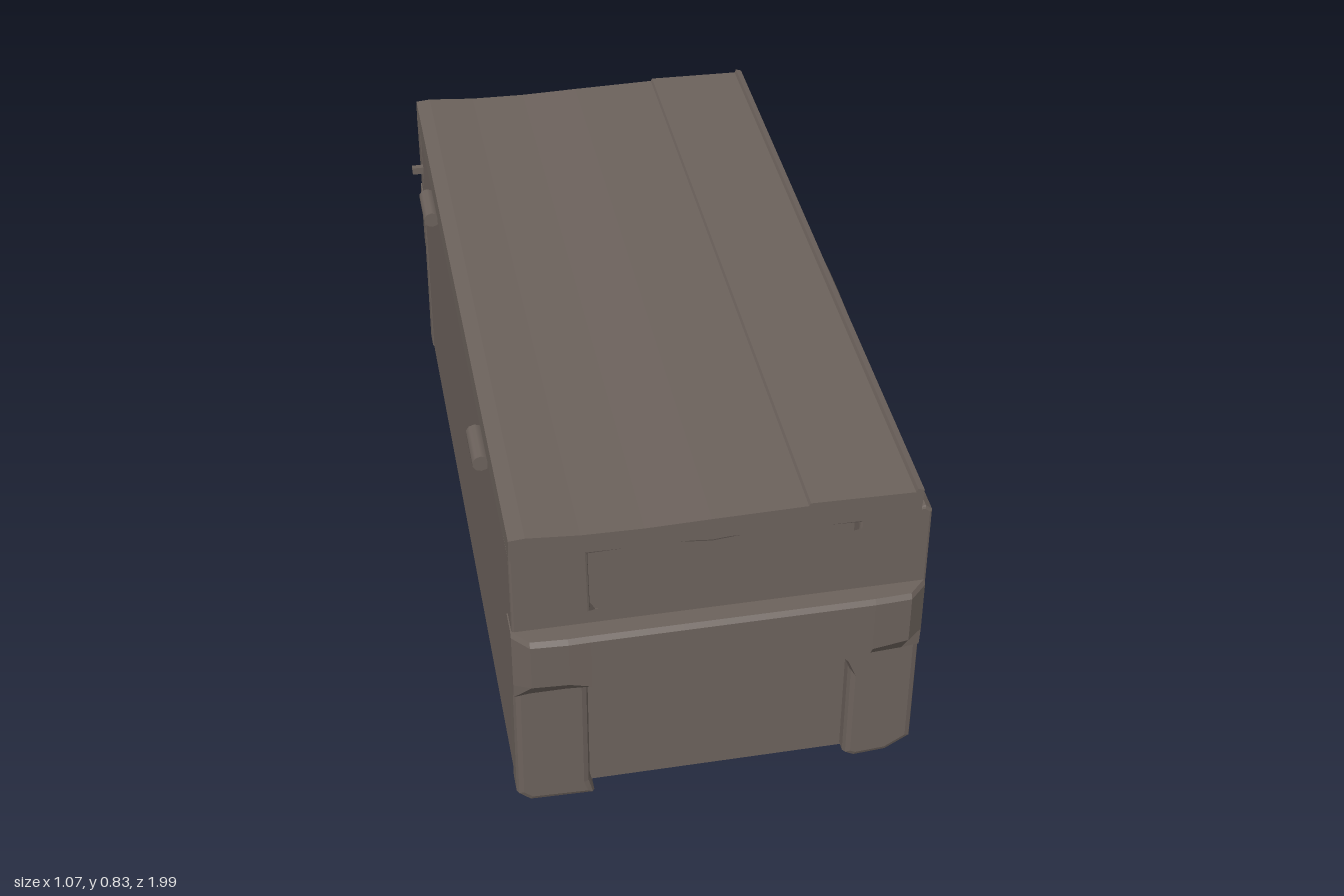
import * as THREE from 'three';

const wood = new THREE.MeshStandardMaterial({ color: 0x6c625c });
wood.name = 'weathered brown';

const shapeOf = (pts) => new THREE.Shape(pts.map(([x, y]) => new THREE.Vector2(x, y)));

// Extrude an x-y outline from z0 to z1 with worn, bevelled edges kept inside the outline
function slab(shape, z0, z1, bevel = 0) {
  const g = new THREE.ExtrudeGeometry(shape, {
    depth: z1 - z0 - 2 * bevel, bevelEnabled: bevel > 0, bevelThickness: bevel,
    bevelSize: bevel, bevelOffset: -bevel, bevelSegments: 2, curveSegments: 8,
  });
  return g.translate(0, 0, z0 + bevel);
}

// Mirror a geometry to the far end, keeping its faces outward
function mirrorZ(geometry) {
  const g = geometry.index ? geometry.toNonIndexed() : geometry.clone();
  const p = g.attributes.position;
  const a = new THREE.Vector3(), b = new THREE.Vector3();
  for (let i = 0; i < p.count; i += 3) {
    a.fromBufferAttribute(p, i + 1);
    b.fromBufferAttribute(p, i + 2);
    p.setXYZ(i + 1, b.x, b.y, b.z);
    p.setXYZ(i + 2, a.x, a.y, a.z);
  }
  g.scale(1, 1, -1);
  g.computeVertexNormals();
  return g;
}

// Skin a row of equal closed cross-sections (counter-clockwise seen from +x), capped
function loft(sections) {
  const n = sections[0].length, index = [];
  sections.slice(1).forEach((_, s) => {
    for (let i = 0; i < n; i++) {
      const a = s * n + i, b = s * n + (i + 1) % n;
      index.push(a, b, a + n, b, b + n, a + n);
    }
  });
  const last = (sections.length - 1) * n;
  for (let i = 1; i < n - 1; i++) {
    index.push(0, i + 1, i, last, last + i, last + i + 1);
  }
  let g = new THREE.BufferGeometry();
  g.setAttribute('position', new THREE.Float32BufferAttribute(sections.flat(2), 3));
  g.setIndex(index);
  g = g.toNonIndexed();
  g.computeVertexNormals();
  return g;
}

// Worn lower edge of the band above the lower panel
const arch = [[-0.33, 0.4], [-0.31, 0.425], [-0.2, 0.437], [-0.12, 0.46], [-0.03, 0.468],
  [0.07, 0.452], [0.18, 0.43], [0.23, 0.41], [0.265, 0.37], [0.285, 0.32]];

export function createModel() {
  const model = new THREE.Group();
  const add = (name, geometry) => {
    const m = new THREE.Mesh(geometry, wood);
    m.name = name;
    model.add(m);
    return m;
  };
  const addBothEnds = (name, geometry) => {
    add(name + 'Front', geometry);
    add(name + 'Back', mirrorZ(geometry));
  };

  // Main box, with recessed end panels
  add('chestBody', slab(shapeOf([[-0.47, 0.012], [0.4, 0.012], [0.447, 0.045], [0.45, 0.765],
    [0.435, 0.778], [-0.497, 0.778], [-0.502, 0.035]]), -0.9, 0.9));

  // Lower end frame: two corner posts joined above the open panel
  addBothEnds('lowerEndFrame', slab(shapeOf([[-0.475, 0.008], [-0.32, 0.004], [-0.33, 0.05], ...arch,
    [0.285, 0.02], [0.31, 0.006], [0.39, 0.012], [0.45, 0.05], [0.45, 0.556],
    [-0.5, 0.556], [-0.505, 0.035]]), 0.86, 0.942, 0.016));

  // Upper end frame around the upper panel
  const upper = shapeOf([[-0.499, 0.55], [0.45, 0.55], [0.45, 0.765], [0.435, 0.778], [-0.499, 0.778]]);
  upper.holes.push(new THREE.Path([[-0.3, 0.552], [-0.322, 0.59], [-0.325, 0.762], [-0.15, 0.765],
    [-0.05, 0.754], [0.13, 0.77], [0.16, 0.76], [0.285, 0.754], [0.285, 0.552]]
    .map(([x, y]) => new THREE.Vector2(x, y))));
  addBothEnds('upperEndFrame', slab(upper, 0.86, 0.943, 0.006));

  // Raised band across each end, rounded off at the corners
  const stations = [[-0.502, 0.39, 0.36, 0.948], [-0.465, 0.415, 0.365, 0.99], [-0.38, 0.415, 0.365, 0.995],
    ...arch.map(([x, y]) => [x, y, y - 0.012, 0.994]),
    [0.32, 0.4, 0.35, 0.994], [0.405, 0.41, 0.355, 0.99], [0.447, 0.4, 0.36, 0.948]];
  addBothEnds('endBand', loft(stations.map(([x, y, yIn, z]) => [
    [x, yIn, 0.88], [x, 0.56, 0.88], [x, 0.56, z - 0.008], [x, 0.548, z],
    [x, y + 0.012, z], [x, yIn, Math.min(z, 0.943)],
  ])));

  // Lid of joined boards with a raised front lip
  add('lid', slab(shapeOf([[-0.499, 0.77], [0.424, 0.77], [0.427, 0.828], [0.412, 0.833], [0.408, 0.824],
    [0.17, 0.829], [0.166, 0.822], [-0.05, 0.819], [-0.2, 0.816], [-0.34, 0.819], [-0.46, 0.829],
    [-0.497, 0.826]]), -0.943, 0.943));

  // Hasp: a tab flaring away from the front wall
  const hasp = slab(shapeOf([[0.415, 0.765], [0.42, 0.786], [0.445, 0.782], [0.46, 0.75],
    [0.534, 0.556], [0.47, 0.562], [0.45, 0.6], [0.44, 0.72]]), -0.035, 0.067, 0.006);
  add('hasp', hasp);
  const staple = new THREE.BoxGeometry(0.04, 0.07, 0.024).translate(0.455, 0.615, 0.016);
  add('haspStaple', staple);

  // Hinge barrels along the back wall
  for (const z of [-0.51, 0.52]) {
    const barrel = new THREE.CylinderGeometry(0.021, 0.021, 0.12, 10);
    barrel.rotateX(Math.PI / 2).translate(-0.512, 0.752, z);
    add('hinge', barrel);
  }

  // Small peg in the back wall
  add('backPeg', new THREE.BoxGeometry(0.04, 0.02, 0.016).translate(-0.508, 0.66, -0.855));

  return model;
}
